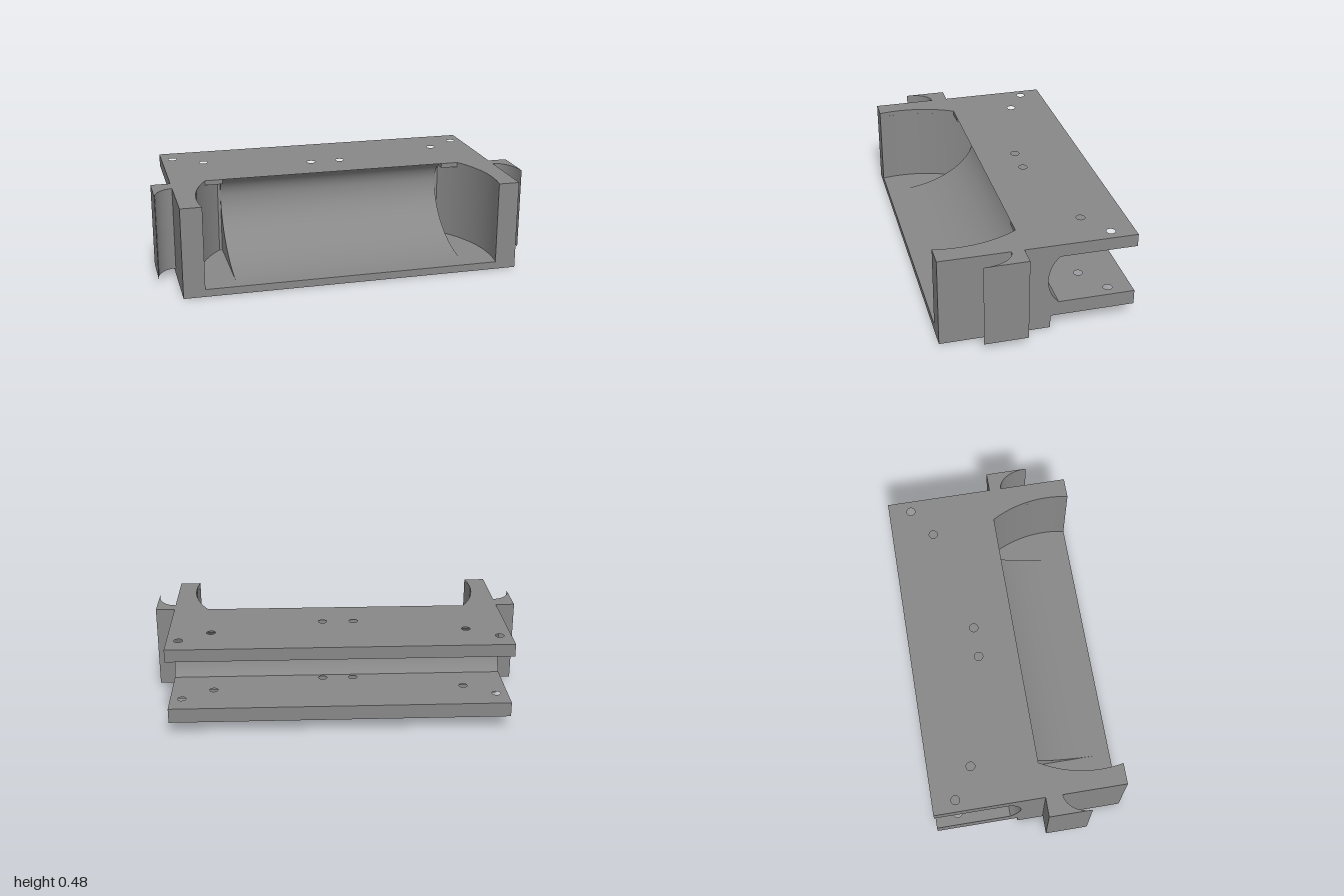
import * as THREE from 'three';
import { toCreasedNormals } from 'three/addons/utils/BufferGeometryUtils.js';

const material = new THREE.MeshStandardMaterial({ color: 0x888888 });
const W = 0.897, TOP = 0.48, FLOOR = 0.04, LIP = 0.455, FRONT = 0.505;
const SPLIT = -0.042, BACK = -0.036, SCOOP = 0.617;

// Points along an elliptical arc, angles in radians.
function arc(cx, cy, rx, ry, a0, a1, n = 24) {
  return Array.from({ length: n + 1 }, (_, i) => {
    const a = a0 + (a1 - a0) * i / n;
    return [cx + rx * Math.cos(a), cy + ry * Math.sin(a)];
  });
}

function extrude(name, points, depth, holes = []) {
  const shape = new THREE.Shape(points.map(([a, b]) => new THREE.Vector2(a, b)));
  for (const [x, y, r] of holes) {
    shape.holes.push(new THREE.Path().absarc(x, y, r, 0, Math.PI * 2, true));
  }
  const geo = new THREE.ExtrudeGeometry(shape, { depth, bevelEnabled: false, curveSegments: 12 });
  const mesh = new THREE.Mesh(geo, material);
  mesh.name = name;
  return mesh;
}

// Outline in [x, z], raised from y0 to y1.
function slab(name, points, y0, y1, holes = []) {
  const mesh = extrude(name, points.map(([x, z]) => [x, -z]), y1 - y0, holes.map(([x, z, r]) => [x, -z, r]));
  mesh.geometry.rotateX(-Math.PI / 2).translate(0, y0, 0);
  mesh.geometry = toCreasedNormals(mesh.geometry, 0.5);
  return mesh;
}

// Outline in [z, y], running across x from -half to half.
function crossBar(name, points, half) {
  const mesh = extrude(name, points.map(([z, y]) => [-z, y]), half * 2);
  mesh.geometry.rotateY(Math.PI / 2).translate(-half, 0, 0);
  mesh.geometry = toCreasedNormals(mesh.geometry, 0.5);
  return mesh;
}

const rect = (z0, z1) => [[-W, z0], [W, z0], [W, z1], [-W, z1]];
const flipX = pts => pts.map(([x, z]) => [-x, z]);

export function createModel() {
  const group = new THREE.Group();

  // Two rear plates with matching screw holes
  const holes = [];
  for (const s of [-1, 1]) {
    for (const [x, z] of [[0.835, -0.383], [0.673, -0.279], [0.083, -0.143]]) holes.push([s * x, z, 0.023]);
  }
  group.add(slab('upperPlate', rect(-FRONT, -0.105), 0.413, TOP, holes));
  group.add(slab('lowerPlate', rect(-FRONT, -0.105), 0.07, 0.148, holes));

  // Web joining the plates, hollowed by the round rear channel
  const a = Math.asin(0.1325 / 0.186);
  group.add(crossBar('rearChannel', [
    [SPLIT, 0], [-0.065, 0], [-0.065, 0.07], [-0.105, 0.07],
    ...arc(-0.236, 0.2805, 0.186, 0.186, -a, a),
    [-0.105, TOP], [SPLIT, TOP],
  ], W));

  // Floor of the front pocket
  group.add(slab('floor', rect(SPLIT, FRONT), 0, FLOOR));

  // Walls around the pocket: curved sides from the front back to zEnd, then inner corner points
  const cx = 0.177, cz = 0.385, r = 0.62;
  const walls = (zEnd, corner = []) => {
    const side = [...arc(cx, cz, r, r, Math.asin((FRONT - cz) / r), Math.asin((zEnd - cz) / r)), ...corner];
    return [[-W, SPLIT], [-W, FRONT], ...flipX(side), ...side.reverse(), [W, FRONT], [W, SPLIT]];
  };
  group.add(slab('pocketWalls', walls(BACK), FLOOR, LIP));
  group.add(slab('topLip', walls(0.07, [[SCOOP, 0.07], [SCOOP, BACK]]), LIP, TOP));

  // Concave scoop: a long sweep up from the floor, then a tight curl forward under the top edge
  const deep = -0.034, yDeep = 0.36, curl = 0.1212;
  group.add(crossBar('scoop', [
    [SPLIT, FLOOR],
    ...arc(0.45, yDeep, 0.45 - deep, yDeep - FLOOR, Math.PI * 1.5, Math.PI, 32),
    ...arc(deep + curl, yDeep, curl, curl, Math.PI, Math.PI - Math.asin(0.12 / curl), 16).slice(1),
    [SPLIT, TOP],
  ], SCOOP));

  // Hooked brackets on both ends
  for (const [name, root, flip] of [['leftBracket', 0.14, false], ['rightBracket', 0.165, true]]) {
    const tip = 0.302;
    const pts = [[W, 0.075], [1, 0.075], ...arc(W, tip, 1 - W, tip - root, 0, -Math.PI / 2, 16)];
    group.add(slab(name, flip ? flipX(pts) : pts, 0.035, TOP));
  }
  return group;
}
